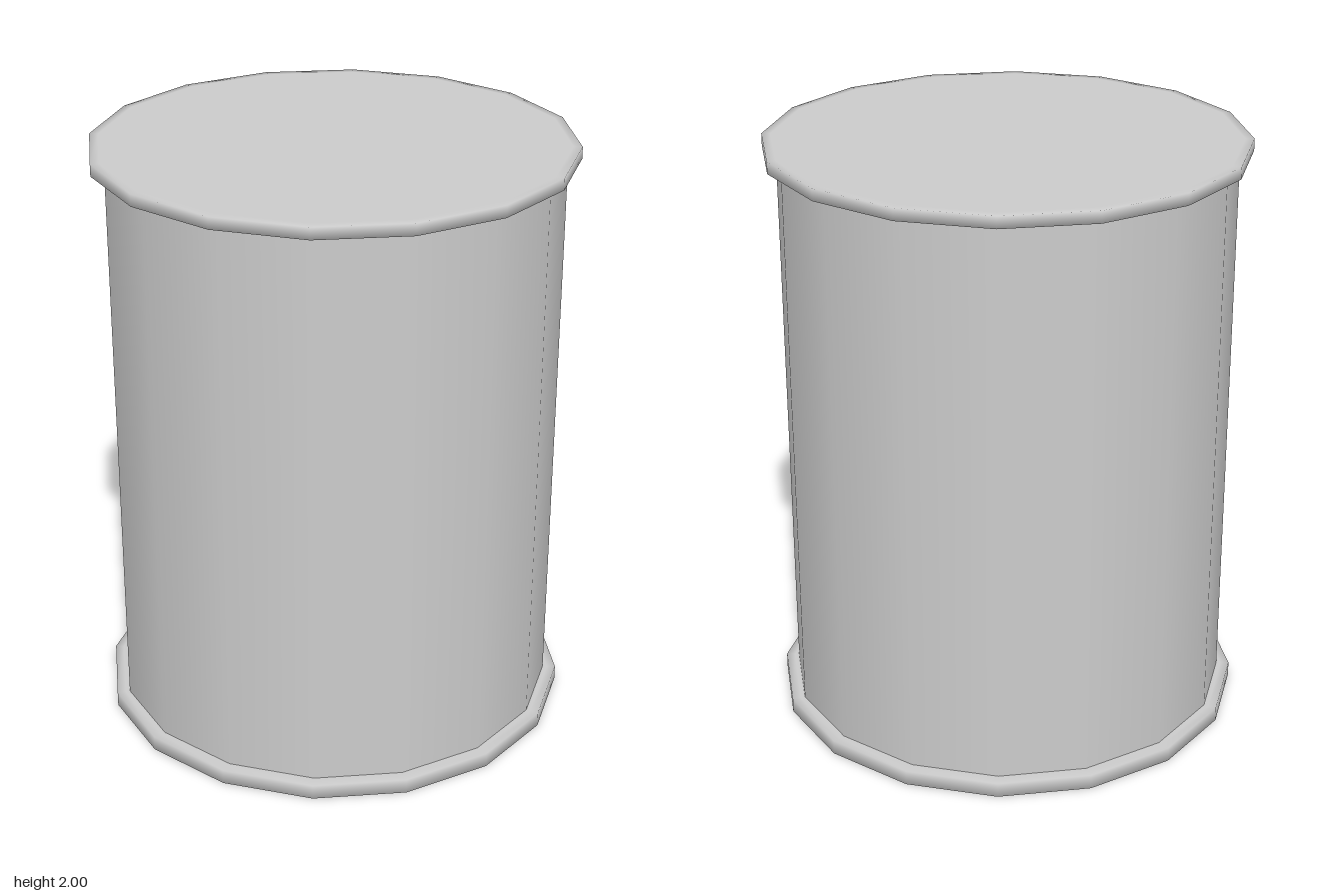
import * as THREE from 'three';

const SIDES = 16;
const BODY_RADIUS = 0.753;
const RIM_RADIUS = 0.797;
const BEVEL = 0.03; // inner ring that keeps the caps flat while the rim edge shades softly

// Closed disc with a softly shaded rim between two heights
function makeDisc(name, bottom, top, material) {
  const profile = [
    [0, bottom], [RIM_RADIUS - BEVEL, bottom], [RIM_RADIUS, bottom],
    [RIM_RADIUS, top], [RIM_RADIUS - BEVEL, top], [0, top],
  ].map(([r, y]) => new THREE.Vector2(r, y));
  const geometry = new THREE.LatheGeometry(profile, SIDES);
  geometry.normalizeNormals();
  const disc = new THREE.Mesh(geometry, material);
  disc.name = name;
  return disc;
}

export function createModel() {
  const group = new THREE.Group();
  group.name = 'can';
  const material = new THREE.MeshStandardMaterial({ color: 0xcccccc });

  // Smooth wall running between the two end discs
  const baseTop = 0.05, lidBottom = 1.96;
  const wall = new THREE.Mesh(
    new THREE.CylinderGeometry(BODY_RADIUS, BODY_RADIUS, lidBottom - baseTop, SIDES, 1, true),
    material
  );
  wall.name = 'wall';
  wall.position.y = (baseTop + lidBottom) / 2;

  // Base and lid overhang the wall slightly
  group.add(
    wall,
    makeDisc('base', 0, baseTop, material),
    makeDisc('lid', lidBottom, 2, material)
  );
  return group;
}
